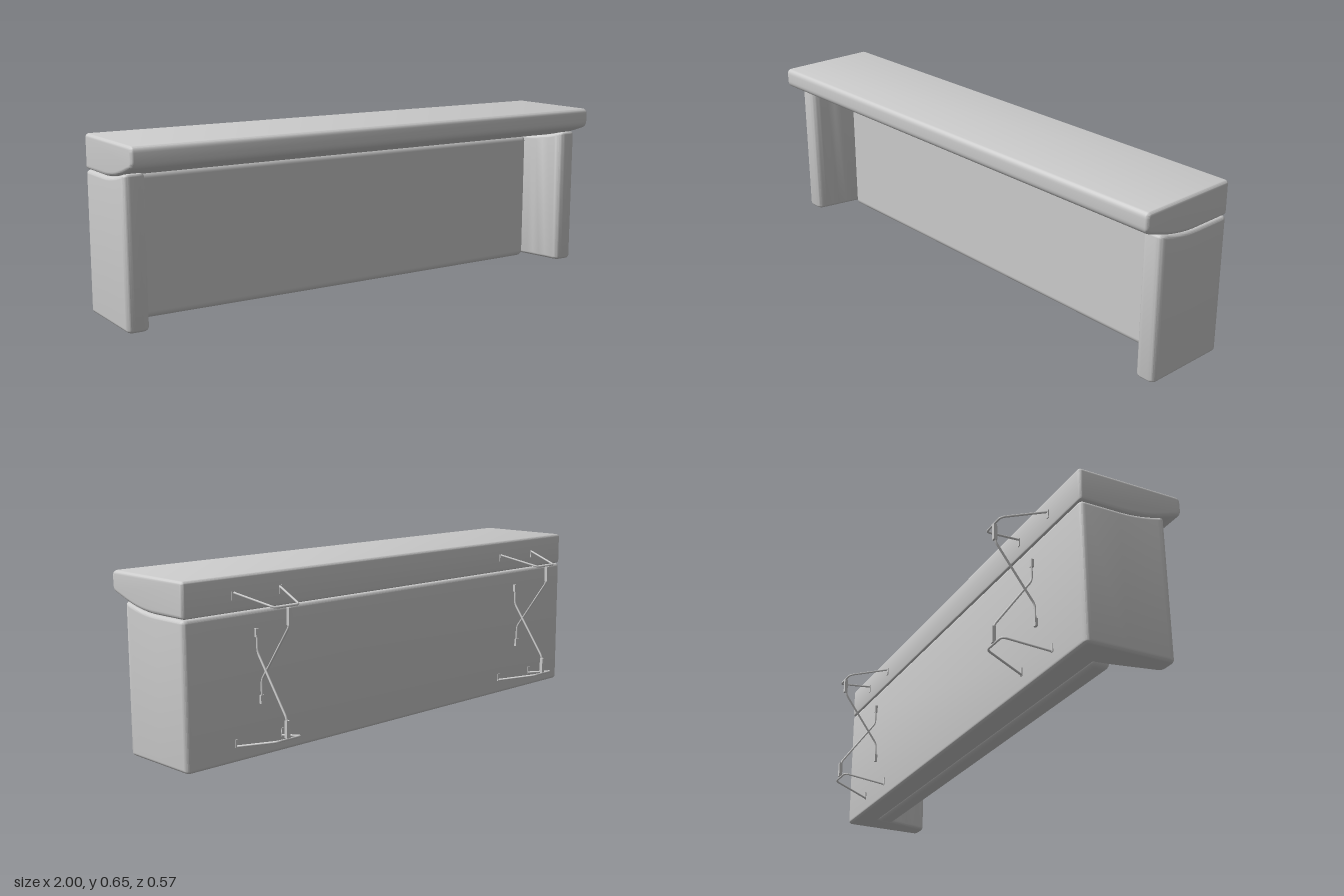
import * as THREE from 'three';
import { toCreasedNormals } from 'three/addons/utils/BufferGeometryUtils.js';
import { RoundedBoxGeometry } from 'three/addons/geometries/RoundedBoxGeometry.js';

const grey = new THREE.MeshStandardMaterial({ color: 0xcccccc });
const V = (x, y, z) => new THREE.Vector3(x, y, z);

function add(parent, name, geometry) {
  const mesh = new THREE.Mesh(geometry, grey);
  mesh.name = name;
  parent.add(mesh);
  return mesh;
}

// Curve where the lid meets the arms
const seam = (z) => 0.523 + 0.9 * Math.max(0, z - 0.03) ** 2;

// Closed shape from [x, y, cornerRadius] points
function roundedShape(points) {
  const shape = new THREE.Shape();
  const n = points.length;
  points.forEach(([x, y, r = 0], i) => {
    const p = new THREE.Vector2(x, y);
    const toward = (q) => new THREE.Vector2(q[0], q[1]).sub(p).setLength(r).add(p);
    const a = r ? toward(points[(i + n - 1) % n]) : p;
    if (i === 0) shape.moveTo(a.x, a.y);
    else shape.lineTo(a.x, a.y);
    if (r) {
      const b = toward(points[(i + 1) % n]);
      shape.quadraticCurveTo(x, y, b.x, b.y);
    }
  });
  shape.closePath();
  return shape;
}

function extrude(shape, length, bevel) {
  return new THREE.ExtrudeGeometry(shape, {
    depth: length - 2 * bevel, curveSegments: 6,
    bevelEnabled: true, bevelSize: bevel, bevelThickness: bevel, bevelOffset: -bevel, bevelSegments: 6,
  }).translate(0, 0, bevel);
}

// U-shaped body: back wall and two arms, its top following the seam
function bodyGeometry() {
  const steps = [0.03, 0.06, 0.09, 0.12, 0.15, 0.18];
  const half = [
    [1, 0.12, 0.02], ...steps.map((z) => [1, -z]),
    [1, -0.213, 0.025], [0.922, -0.213, 0.025],
    ...steps.slice().reverse().map((z) => [0.922 - 0.04 * (0.21 - z) / 0.2, -z]),
    [0.88, 0.02],
  ];
  const outline = [...half, ...half.slice().reverse().map(([x, y, r]) => [-x, y, r])];
  const g = extrude(roundedShape(outline), 0.513, 0.014).rotateX(-Math.PI / 2).translate(0, 0.01, 0);
  const p = g.attributes.position;
  for (let i = 0; i < p.count; i++) {
    if (p.getY(i) > 0.3) p.setY(i, p.getY(i) + seam(p.getZ(i)) - 0.523);
  }
  return toCreasedNormals(g, 0.5);
}

// Lid: side profile with a sweeping underside, extruded across the width
function lidGeometry() {
  const under = [0.05, 0.08, 0.11, 0.14, 0.17, 0.2, 0.23].map((z) => [-z, seam(z) + 0.001]);
  const profile = [
    [0.12, 0.65, 0.015], [0.12, 0.525, 0.012], ...under,
    [-0.284, 0.578, 0.022], [-0.284, 0.65, 0.022],
  ];
  const g = extrude(roundedShape(profile), 2, 0.014).rotateY(Math.PI / 2).translate(-1, 0, 0);
  return toCreasedNormals(g, 0.5);
}

// Round wire through points, with softened bends
function wire(points, bend = 0.015) {
  const path = new THREE.CurvePath();
  let from = points[0];
  for (let i = 1; i < points.length - 1; i++) {
    const p = points[i];
    const a = points[i - 1].clone().sub(p).setLength(bend).add(p);
    const b = points[i + 1].clone().sub(p).setLength(bend).add(p);
    path.add(new THREE.LineCurve3(from, a));
    path.add(new THREE.QuadraticBezierCurve3(a, p, b));
    from = b;
  }
  path.add(new THREE.LineCurve3(from, points[points.length - 1]));
  return new THREE.TubeGeometry(path, 48, 0.004, 8, false);
}

const plate = (w, h, d, x, y, z) => new THREE.BoxGeometry(w, h, d).translate(x, y, z);

// Hanging bracket: two hoops joined to the back by crossing struts
function bracket() {
  const group = new THREE.Group();
  group.name = 'bracket';
  // The lower half is the upper half flipped about the crossing height
  for (const s of [1, -1]) {
    const Y = (y) => (s > 0 ? y : 0.66 - y);
    const label = s > 0 ? 'upper' : 'lower';
    const x = -0.008 * s;
    add(group, label + 'Hoop', wire([
      V(-0.1, Y(0.593), -0.12), V(-0.052, Y(0.555), -0.275),
      V(0.052, Y(0.555), -0.275), V(0.1, Y(0.593), -0.12),
    ]));
    for (const side of [-1, 1]) {
      add(group, label + 'HoopFoot', plate(0.012, 0.03, 0.006, side * 0.102, Y(0.582), -0.12));
    }
    add(group, label + 'Clip', plate(0.014, 0.06, 0.013, x, Y(0.52), -0.275));
    add(group, label + 'Strut', wire([
      V(x, Y(0.55), -0.273), V(x, Y(0.485), -0.273), V(x, Y(0.28), -0.126), V(x, Y(0.2), -0.126),
    ]));
    add(group, label + 'StrutFoot', plate(0.014, 0.03, 0.01, x, Y(0.213), -0.125));
  }
  return group;
}

export function createModel() {
  const model = new THREE.Group();
  model.name = 'wallBench';

  add(model, 'body', bodyGeometry());
  add(model, 'lid', lidGeometry());

  // Padded panel set between the arms
  add(model, 'frontPanel', new RoundedBoxGeometry(1.77, 0.522, 0.076, 5, 0.024)).position.set(0, 0.263, 0.008);

  for (const x of [-0.695, 0.695]) {
    const b = bracket();
    b.position.x = x;
    model.add(b);
  }
  return model;
}
